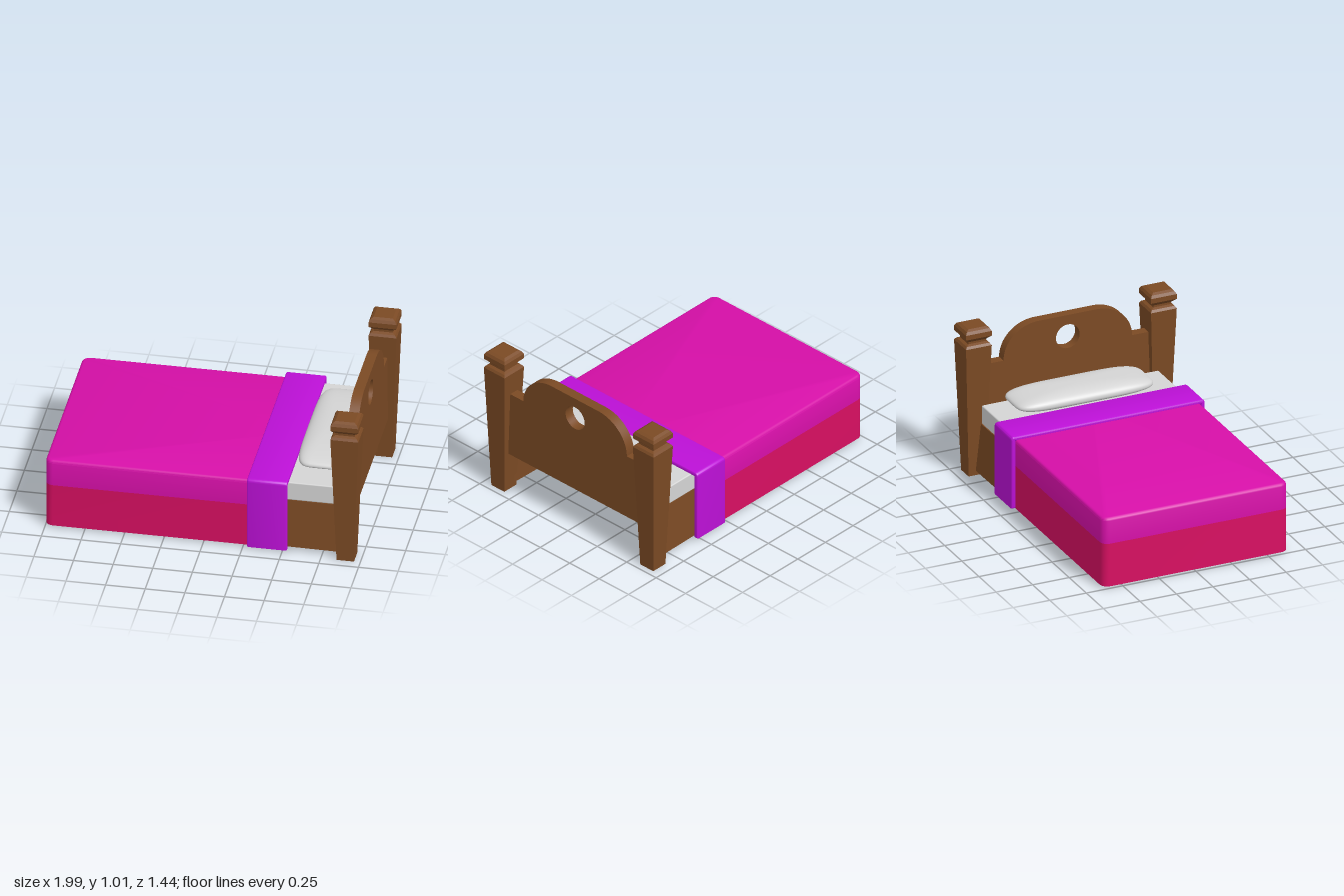
import * as THREE from 'three';
import { toCreasedNormals, mergeVertices } from 'three/addons/utils/BufferGeometryUtils.js';
import { RoundedBoxGeometry } from 'three/addons/geometries/RoundedBoxGeometry.js';

const mat = (name, color, side = THREE.FrontSide) => {
  const m = new THREE.MeshStandardMaterial({ color, side });
  m.name = name;
  return m;
};

export function createModel() {
  const wood = mat('brown wood', 0x7b4a24);
  const linen = mat('off-white linen', 0xd4d4d4);
  const magenta = mat('magenta cloth', 0xd60fa8, THREE.DoubleSide);
  const crimson = mat('crimson cloth', 0xd80f62, THREE.DoubleSide);
  const purple = mat('purple cloth', 0xbc10d6);

  const bed = new THREE.Group();
  bed.name = 'bed';
  const add = (name, geometry, material, x = 0, y = 0, z = 0) => {
    const mesh = new THREE.Mesh(geometry, material);
    mesh.name = name;
    mesh.position.set(x, y, z);
    bed.add(mesh);
    return mesh;
  };
  // box given by its limits
  const box = (name, material, x0, x1, y0, y1, z0, z1) =>
    add(name, new THREE.BoxGeometry(x1 - x0, y1 - y0, z1 - z0), material,
      (x0 + x1) / 2, (y0 + y1) / 2, (z0 + z1) / 2);

  // square tapered head posts with turned caps: [half width, y]
  const postProfile = [
    [0, 0], [0.055, 0], [0.088, 0.885], [0.078, 0.9], [0.06, 0.908], [0.06, 0.922],
    [0.088, 0.95], [0.088, 0.982], [0.078, 1.0], [0.06, 1.01], [0, 1.01],
  ].map(([h, y]) => new THREE.Vector2(h * Math.SQRT2, y));
  const postGeometry = new THREE.LatheGeometry(postProfile, 4, Math.PI / 4).toNonIndexed();
  postGeometry.computeVertexNormals();

  for (const s of [1, -1]) {
    const label = s > 0 ? 'front' : 'back';
    add(label + 'HeadPost', postGeometry, wood, 0.905, 0, s * 0.633);

    // side rail, splayed towards the head and leaning out at the bottom
    const rail = new THREE.BoxGeometry(1.82, 0.32, 1).toNonIndexed();
    const p = rail.attributes.position;
    for (let i = 0; i < p.count; i++) {
      const head = p.getX(i) > 0, low = p.getY(i) < 0;
      const outer = p.getZ(i) * s > 0;
      const z = outer ? (head ? 0.61 : 0.585) + (low ? 0.03 : 0) : (head ? 0.575 : 0.54);
      p.setZ(i, s * z);
    }
    rail.computeVertexNormals();
    add(label + 'SideRail', rail, wood, -0.04, 0.19, 0);

    box(label + 'FootLeg', wood, -0.97, -0.87, 0.004, 0.3,
      s > 0 ? 0.5 : -0.6, s > 0 ? 0.6 : -0.5);
  }
  box('footRail', wood, -0.95, -0.9, 0.045, 0.3, -0.56, 0.56);
  box('baseBoard', wood, -0.96, 0.875, 0.28, 0.349, -0.59, 0.59);

  // arched headboard with a round hole
  const arch = new THREE.Shape();
  arch.moveTo(-0.6, 0.28);
  arch.lineTo(0.6, 0.28);
  arch.lineTo(0.6, 0.735);
  arch.lineTo(0.44, 0.735);
  arch.absellipse(0.2, 0.735, 0.24, 0.225, 0, Math.PI / 2, false, 0);
  arch.absellipse(-0.2, 0.735, 0.24, 0.225, Math.PI / 2, Math.PI, false, 0);
  arch.lineTo(-0.6, 0.735);
  arch.closePath();
  const hole = new THREE.Path();
  hole.absarc(0, 0.815, 0.081, 0, Math.PI * 2, true);
  arch.holes.push(hole);
  const headboard = new THREE.ExtrudeGeometry(arch, { depth: 0.065, bevelEnabled: false, curveSegments: 14 });
  headboard.rotateY(Math.PI / 2);
  add('headboard', toCreasedNormals(headboard, 0.6), wood, 0.87, 0, 0);

  // mattress
  add('mattress', new RoundedBoxGeometry(1.78, 0.127, 1.21, 2, 0.008), linen, -0.05, 0.4125, 0);

  // pillow: a sphere squared off in plan
  const pillow = new THREE.SphereGeometry(1, 56, 28);
  const pp = pillow.attributes.position;
  const pow = (v, e) => Math.sign(v) * Math.pow(Math.abs(v), e);
  for (let i = 0; i < pp.count; i++) {
    const x = pp.getX(i), y = pp.getY(i), z = pp.getZ(i);
    const r = Math.hypot(x, z);
    const a = r > 1e-6 ? x / r : 0, b = r > 1e-6 ? z / r : 0;
    const spread = Math.pow(r, 0.75);
    pp.setXYZ(i, 0.165 * spread * pow(a, 0.4),
      pow(y, 0.9) * (y > 0 ? 0.06 : 0.046), 0.467 * spread * pow(b, 0.4));
  }
  pillow.deleteAttribute('normal');
  pillow.deleteAttribute('uv');
  const pillowGeometry = mergeVertices(pillow, 1e-5);
  pillowGeometry.computeVertexNormals();
  add('pillow', pillowGeometry, linen, 0.705, 0.52, 0);

  // blanket outline in plan, rounded at the foot and open at the head
  const outline = (inset) => {
    const pts = [[0.515, 0.635 - inset]];
    for (const s of [1, -1]) {
      for (let k = 0; k <= 5; k++) {
        const t = (s > 0 ? k : 5 - k) / 5 * Math.PI / 2;
        const r = 0.05 - inset;
        pts.push([-0.95 - r * Math.sin(t), s * (0.585 + r * Math.cos(t))]);
      }
    }
    pts.push([0.515, -0.635 + inset]);
    return pts;
  };
  // cloth wall through rows of [inset, y], optionally closed on top
  const cloth = (rows, closed) => {
    const pos = [], index = [], n = outline(0).length;
    for (const [inset, y] of rows) for (const [x, z] of outline(inset)) pos.push(x, y, z);
    for (let r = 0; r < rows.length - 1; r++) {
      for (let i = 0; i < n - 1; i++) {
        const a = r * n + i, c = a + n;
        index.push(a, c, a + 1, a + 1, c, c + 1);
      }
    }
    if (closed) {
      const last = (rows.length - 1) * n, centre = rows.length * n;
      pos.push(0.515, rows[rows.length - 1][1], 0);
      for (let i = 0; i < n - 1; i++) index.push(last + i, centre, last + i + 1);
    }
    const g = new THREE.BufferGeometry();
    g.setAttribute('position', new THREE.Float32BufferAttribute(pos, 3));
    g.setIndex(index);
    return toCreasedNormals(g, 0.7);
  };
  add('blanketSkirt', cloth([[0, 0.014], [0, 0.305]], false), crimson);
  add('blanketTop', cloth([[0, 0.305], [0, 0.46], [0.003, 0.47], [0.01, 0.477], [0.02, 0.48]], true), magenta);

  // folded band wrapped over the blanket
  const w = 0.662, top = 0.502, r = 0.022, inner = 0.632;
  const wrap = new THREE.Shape();
  wrap.moveTo(w, 0.014);
  wrap.lineTo(w, top - r);
  wrap.absarc(w - r, top - r, r, 0, Math.PI / 2, false);
  wrap.absarc(-w + r, top - r, r, Math.PI / 2, Math.PI, false);
  wrap.lineTo(-w, 0.014);
  wrap.lineTo(-inner, 0.014);
  wrap.lineTo(-inner, 0.472);
  wrap.lineTo(inner, 0.472);
  wrap.lineTo(inner, 0.014);
  wrap.closePath();
  const bevel = 0.01;
  const band = new THREE.ExtrudeGeometry(wrap, {
    depth: 0.255 - 2 * bevel, bevelThickness: bevel, bevelSize: bevel,
    bevelOffset: -bevel, bevelSegments: 3, curveSegments: 5,
  });
  band.rotateY(Math.PI / 2);
  add('foldedBand', toCreasedNormals(band, 0.7), purple, 0.278 + bevel, 0, 0);

  return bed;
}
